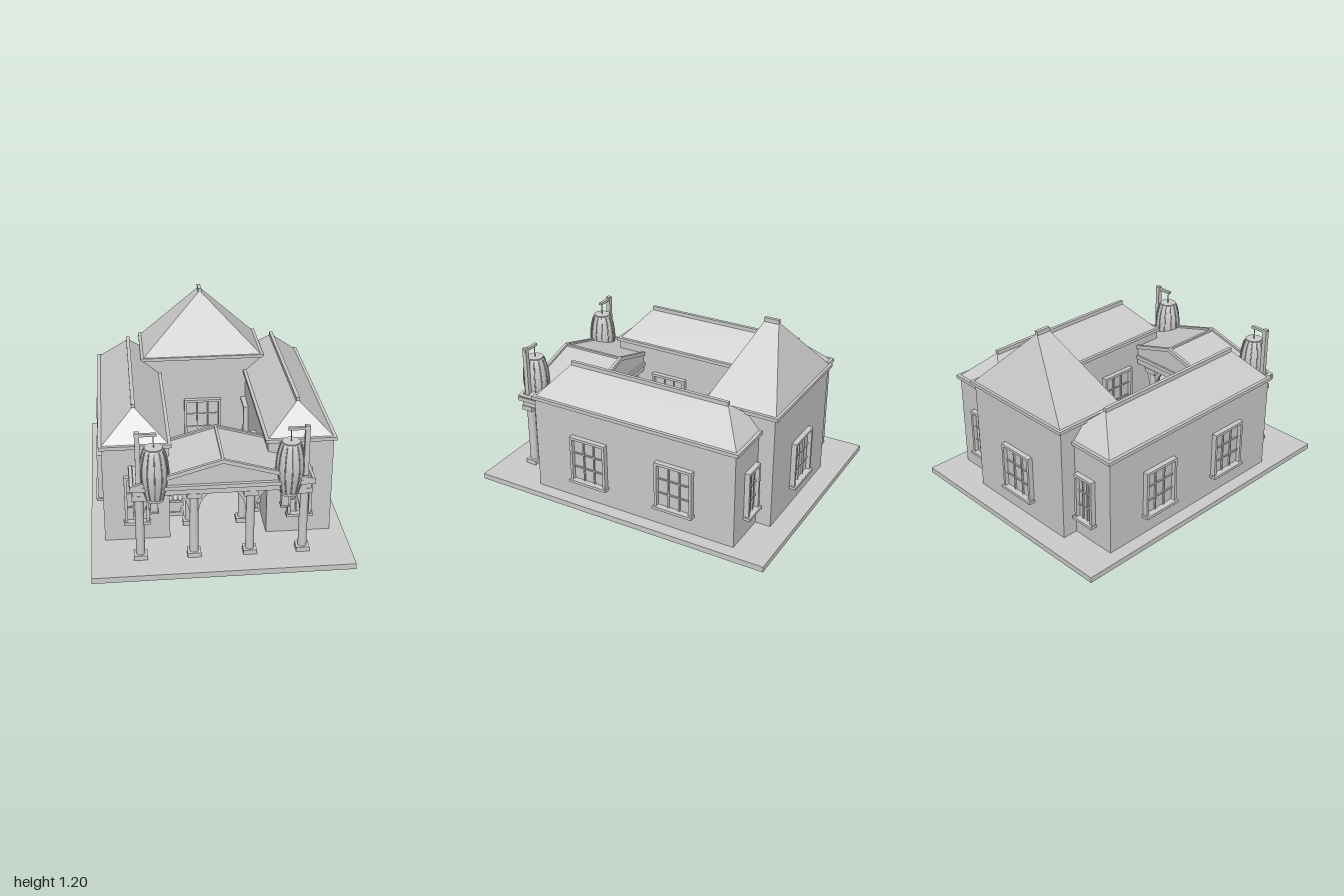
import * as THREE from 'three';

const stone = new THREE.MeshStandardMaterial({ color: 0xcccccc });
stone.name = 'pale grey';

function add(parent, name, geometry, x = 0, y = 0, z = 0) {
  const m = new THREE.Mesh(geometry, stone);
  m.name = name;
  m.position.set(x, y, z);
  parent.add(m);
  return m;
}

// Box given by its low and high limits on each axis
function box(parent, name, x0, x1, y0, y1, z0, z1) {
  return add(parent, name, new THREE.BoxGeometry(x1 - x0, y1 - y0, z1 - z0),
    (x0 + x1) / 2, (y0 + y1) / 2, (z0 + z1) / 2);
}

function group(parent, name) {
  const g = new THREE.Group();
  g.name = name;
  parent.add(g);
  return g;
}

// Four-sided roof rising to a ridge that runs along z
function hipRoof(parent, x0, x1, y0, y1, z0, z1, ridge0, ridge1) {
  const xm = (x0 + x1) / 2;
  const a = [x0, y0, z1], b = [x1, y0, z1], c = [x1, y0, z0], d = [x0, y0, z0];
  const f = [xm, y1, ridge1], r = [xm, y1, ridge0];
  const tris = [a, b, f, b, c, r, b, r, f, c, d, r, d, a, f, d, f, r, a, d, c, a, c, b];
  const g = new THREE.BufferGeometry();
  g.setAttribute('position', new THREE.Float32BufferAttribute(tris.flat(), 3));
  g.computeVertexNormals();
  add(parent, 'roof', g);
  box(parent, 'ridgeCap', xm - 0.011, xm + 0.011, y1 - 0.01, y1 + 0.015, ridge0 - 0.005, ridge1 + 0.005);
}

// Window facing +z locally, with frame, glazing bars and sill
function makeWindow(parent, x, z, turn, w) {
  const g = group(parent, 'window');
  const h = w / 2, y0 = 0.17, y1 = 0.475, t = 0.017, d = 0.032;
  box(g, 'frameSide', -h, -h + t, y0, y1, 0, d);
  box(g, 'frameSide', h - t, h, y0, y1, 0, d);
  box(g, 'frameTop', -h + t, h - t, y1 - t, y1, 0, d);
  box(g, 'sill', -h - 0.008, h + 0.008, y0 - 0.01, y0 + 0.008, 0, 0.045);
  box(g, 'pane', -h + t, h - t, y0, y1 - t, 0, 0.006);
  for (let i = 1; i < 3; i++) {
    const bx = -h + t + (w - 2 * t) * i / 3, by = y0 + (y1 - t - y0) * i / 3;
    box(g, 'uprightBar', bx - 0.004, bx + 0.004, y0, y1 - t, 0, 0.016);
    box(g, 'crossBar', -h + t, h - t, by - 0.004, by + 0.004, 0, 0.015);
  }
  g.position.set(x, 0, z);
  g.rotation.y = turn;
}

// Side wing, s = -1 or 1
function wing(parent, s) {
  const g = group(parent, s > 0 ? 'leftWing' : 'rightWing');
  const c = 0.49 * s;
  box(g, 'walls', c - 0.197, c + 0.197, 0.035, 0.655, -0.77, 0.607);
  box(g, 'eaves', c - 0.213, c + 0.213, 0.652, 0.674, -0.79, 0.62);
  hipRoof(g, c - 0.193, c + 0.193, 0.674, 0.85, -0.77, 0.6, -0.615, 0.45);
  for (const z of [0.215, -0.38]) {
    makeWindow(g, c + s * 0.197, z, s * Math.PI / 2, 0.25);
    makeWindow(g, c - s * 0.197, z, -s * Math.PI / 2, 0.25);
  }
  makeWindow(g, c, 0.607, 0, 0.145);
  makeWindow(g, c, -0.77, Math.PI, 0.145);
}

// Round post with square base and cap
function post(parent, x, z) {
  const g = group(parent, 'post');
  box(g, 'postBase', -0.04, 0.04, 0.035, 0.065, -0.037, 0.037);
  add(g, 'postShaft', new THREE.CylinderGeometry(0.026, 0.026, 0.37, 20), 0, 0.25, 0);
  box(g, 'postCap', -0.042, 0.042, 0.435, 0.467, -0.037, 0.037);
  g.position.set(x, 0, z);
}

// Curved bracket filling the corner between post and beam
function bracket(parent, x, z, dir) {
  const s = new THREE.Shape();
  s.moveTo(0, 0.32);
  s.quadraticCurveTo(dir * 0.015, 0.45, dir * 0.095, 0.465);
  s.lineTo(0, 0.465);
  const g = new THREE.ExtrudeGeometry(s, { depth: 0.026, bevelEnabled: false, curveSegments: 8 });
  add(parent, 'archBracket', g, x + dir * 0.024, 0, z - 0.013);
}

function gable(half, y0, y1, depth) {
  const s = new THREE.Shape([
    new THREE.Vector2(-half, y0), new THREE.Vector2(half, y0), new THREE.Vector2(0, y1)]);
  return new THREE.ExtrudeGeometry(s, { depth, bevelEnabled: false });
}

function portico(parent) {
  const g = group(parent, 'portico');
  for (const x of [-0.48, -0.165, 0.165, 0.48]) {
    post(g, x, 0.805);
    for (const d of [-1, 1]) if (Math.abs(x + d * 0.1) < 0.5) bracket(g, x, 0.805, d);
  }
  for (const x of [-0.165, 0.165]) {
    post(g, x, 0.45);
    for (const d of [-1, 1]) bracket(g, x, 0.45, d);
  }
  // Beams and cornice
  box(g, 'frontBeam', -0.515, 0.515, 0.465, 0.505, 0.77, 0.84);
  box(g, 'backBeam', -0.3, 0.3, 0.465, 0.505, 0.42, 0.48);
  for (const s of [-1, 1]) box(g, 'sideBeam', s * 0.48 - 0.035, s * 0.48 + 0.035, 0.465, 0.505, 0.6, 0.77);
  box(g, 'cornice', -0.535, 0.535, 0.505, 0.53, 0.41, 0.86);
  // Gabled roof with raised rims
  add(g, 'roof', gable(0.52, 0.53, 0.678, 0.416), 0, 0, 0.422);
  const angle = Math.atan2(0.15, 0.52), len = Math.hypot(0.15, 0.52);
  for (const s of [-1, 1]) {
    for (const z of [0.42, 0.85]) {
      const rim = add(g, 'gableRim', new THREE.BoxGeometry(len, 0.024, 0.02), s * 0.26, 0.603, z);
      rim.rotation.z = -s * angle;
    }
    const edge = add(g, 'eaveRim', new THREE.BoxGeometry(0.02, 0.018, 0.25), s * 0.52, 0.534, 0.735);
    edge.rotation.z = -s * angle;
  }
  box(g, 'ridgeCap', -0.008, 0.008, 0.67, 0.688, 0.41, 0.86);
}

// Large ribbed lantern on a bracketed pole, with a small lantern behind
function lantern(parent, s) {
  const g = group(parent, 'lanternStand');
  const x = s * 0.39, z = 0.815;
  box(g, 'pole', s * 0.482 - 0.014, s * 0.482 + 0.014, 0.5, 0.862, z - 0.014, z + 0.014);
  box(g, 'arm', s * 0.435 - 0.063, s * 0.435 + 0.063, 0.837, 0.853, z - 0.01, z + 0.01);
  add(g, 'cord', new THREE.CylinderGeometry(0.003, 0.003, 0.08, 6), x, 0.8, z);
  const profile = [[0.05, 0.435], [0.055, 0.45], [0.07, 0.51], [0.08, 0.57], [0.082, 0.61],
    [0.079, 0.66], [0.068, 0.72], [0.056, 0.755], [0.05, 0.765]].map(p => new THREE.Vector2(...p));
  const closed = [new THREE.Vector2(0, 0.435), ...profile, new THREE.Vector2(0, 0.765)];
  add(g, 'lanternBody', new THREE.LatheGeometry(closed, 32), x, 0, z);
  for (const y of [0.436, 0.76])
    add(g, 'lanternCollar', new THREE.CylinderGeometry(0.053, 0.053, 0.014, 24), x, y, z);
  const curve = new THREE.CatmullRomCurve3(profile.slice(1, -1).map(p => new THREE.Vector3(p.x + 0.002, p.y, 0)));
  for (let i = 0; i < 12; i++) {
    const rib = add(g, 'lanternRib', new THREE.TubeGeometry(curve, 12, 0.0035, 5), x, 0, z);
    rib.rotation.y = i * Math.PI / 6;
  }
  // Small square lantern under the side beam
  add(g, 'smallCord', new THREE.CylinderGeometry(0.003, 0.003, 0.16, 6), x, 0.43, 0.68);
  box(g, 'smallLantern', x - 0.022, x + 0.022, 0.268, 0.35, 0.658, 0.702);
  for (const y of [0.265, 0.347])
    box(g, 'smallLanternRim', x - 0.028, x + 0.028, y, y + 0.01, 0.652, 0.708);
}

// Planter with a row of rounded shrubs beside the courtyard entrance
function planter(parent, s) {
  const g = group(parent, 'planter');
  const c = s * 0.243;
  box(g, 'planterFoot', c - 0.05, c + 0.05, 0.035, 0.06, 0.305, 0.365);
  box(g, 'planterStem', c - 0.035, c + 0.035, 0.06, 0.1, 0.315, 0.355);
  box(g, 'planterTray', c - 0.05, c + 0.05, 0.1, 0.13, 0.308, 0.362);
  for (let i = -1; i <= 1; i++) {
    const b = add(g, 'shrub', new THREE.SphereGeometry(0.024, 16, 12), c + i * 0.032, 0.15, 0.335);
    b.scale.x = 0.8;
  }
}

export function createModel() {
  const model = new THREE.Group();
  model.name = 'courtyardHouse';
  box(model, 'base', -0.77, 0.77, 0, 0.036, -1, 1);

  // Main hall at the back
  const hall = group(model, 'hall');
  box(hall, 'walls', -0.392, 0.392, 0.035, 0.77, -0.868, -0.422);
  box(hall, 'eaves', -0.412, 0.412, 0.765, 0.786, -0.89, -0.406);
  hipRoof(hall, -0.393, 0.393, 0.786, 1.183, -0.873, -0.42, -0.69, -0.605);
  makeWindow(hall, 0, -0.868, Math.PI, 0.25);
  makeWindow(hall, 0, -0.422, 0, 0.25);

  // Courtyard step and benches
  box(model, 'step', -0.25, 0.25, 0.035, 0.055, -0.422, -0.25);
  for (const s of [-1, 1]) {
    wing(model, s);
    lantern(model, s);
    planter(model, s);
    box(model, 'benchSeat', s * 0.208 - 0.085, s * 0.208 + 0.085, 0.1, 0.12, -0.25, -0.165);
    for (const x of [0.14, 0.27])
      box(model, 'benchLeg', s * x - 0.01, s * x + 0.01, 0.035, 0.1, -0.24, -0.175);
  }
  portico(model);
  return model;
}
